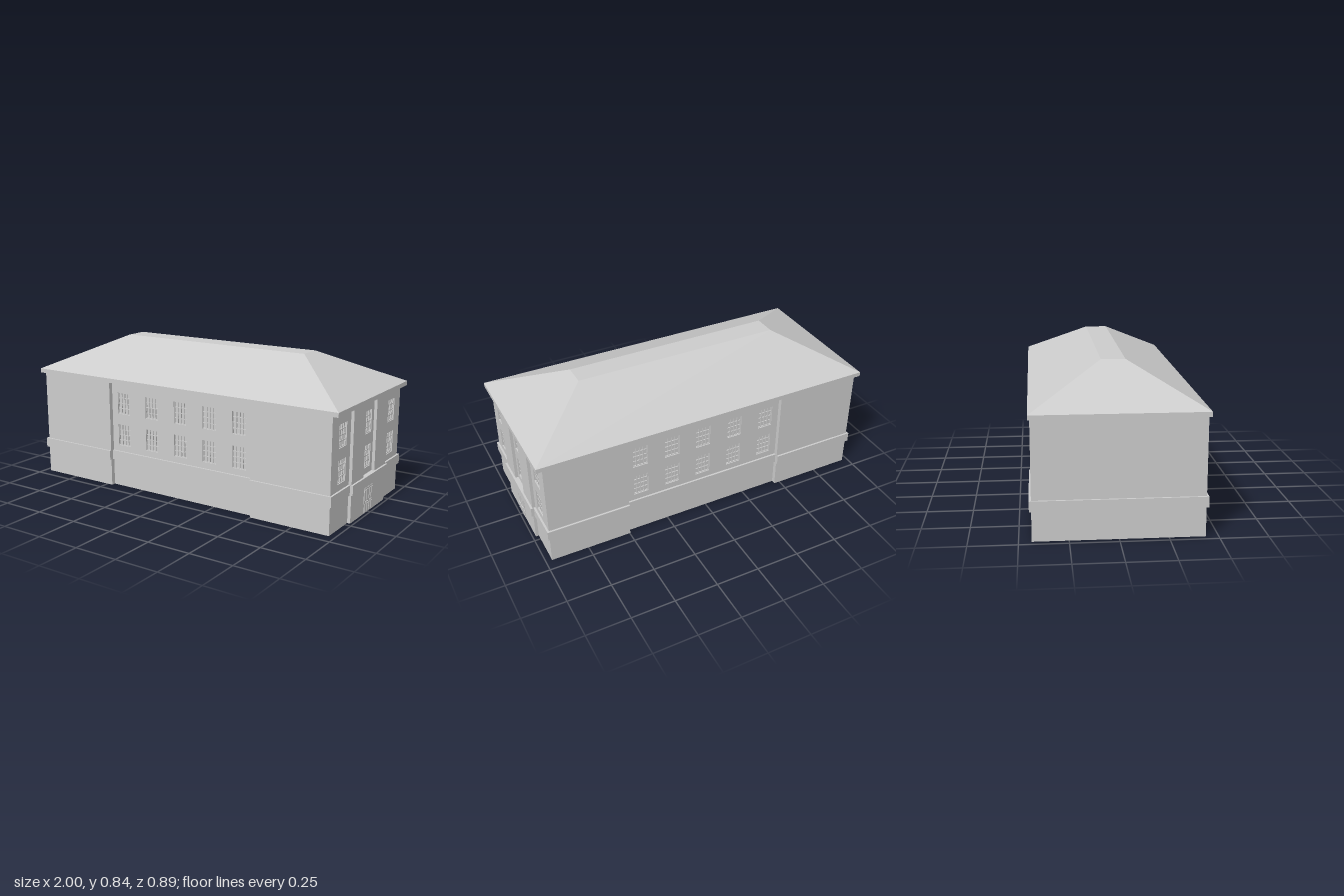
import * as THREE from 'three';

const mat = new THREE.MeshStandardMaterial({ color: 0xcccccc, flatShading: true, side: THREE.DoubleSide });
const BAND0 = 0.157, BAND1 = 0.213, BAND_OUT = 0.011;   // string course
const EAVE0 = 0.625, EAVE1 = 0.65;
const WIN_W = 0.09, WIN_H = 0.128;
const ROWS = [0.312, 0.502];          // window centre heights

function add(parent, geometry, name, x = 0, y = 0, z = 0) {
  const mesh = new THREE.Mesh(geometry, mat);
  mesh.name = name;
  mesh.position.set(x, y, z);
  parent.add(mesh);
  return mesh;
}

function box(parent, name, x0, x1, y0, y1, z0, z1) {
  add(parent, new THREE.BoxGeometry(x1 - x0, y1 - y0, z1 - z0), name,
    (x0 + x1) / 2, (y0 + y1) / 2, (z0 + z1) / 2);
}

// Thin sheets facing z, y and x
function sheet(parent, name, x0, x1, y0, y1, z) {
  add(parent, new THREE.PlaneGeometry(x1 - x0, y1 - y0), name, (x0 + x1) / 2, (y0 + y1) / 2, z);
}

function ledge(parent, name, x0, x1, y, z0, z1) {
  add(parent, new THREE.PlaneGeometry(x1 - x0, z1 - z0), name, (x0 + x1) / 2, y, (z0 + z1) / 2)
    .rotation.x = -Math.PI / 2;
}

function side(parent, name, x, y0, y1, z0, z1) {
  add(parent, new THREE.PlaneGeometry(z1 - z0, y1 - y0), name, x, (y0 + y1) / 2, (z0 + z1) / 2)
    .rotation.y = Math.PI / 2;
}

function rect(Type, x0, x1, y0, y1) {
  return new Type().moveTo(x0, y0).lineTo(x1, y0).lineTo(x1, y1).lineTo(x0, y1).closePath();
}

// Window with a reveal, a pane and glazing bars on both faces of the pane
function addWindow(parent, cx, cy, z) {
  const win = new THREE.Group();
  win.name = 'window';
  win.position.set(cx, cy, z);
  const w = WIN_W / 2, h = WIN_H / 2, t = 0.0022, n = 4;
  const frame = rect(THREE.Shape, -w, w, -h, h);
  frame.holes.push(rect(THREE.Path, -w + 0.001, w - 0.001, -h + 0.001, h - 0.001));
  add(win, new THREE.ExtrudeGeometry(frame, { depth: 0.02, bevelEnabled: false }), 'frame', 0, 0, -0.02);
  sheet(win, 'pane', -w, w, -h, h, -0.012);
  for (let i = 0; i <= n; i++) {
    const x = (-1 + 2 * i / n) * (w - t), y = (-1 + 2 * i / n) * (h - t);
    box(win, 'verticalBar', x - t, x + t, -h, h, -0.018, -0.006);
    box(win, 'horizontalBar', -w, w, y - t, y + t, -0.018, -0.006);
  }
  parent.add(win);
}

// Upper wall with window openings at the given x positions
function upperWall(parent, x0, x1, z, centres = []) {
  const shape = rect(THREE.Shape, x0, x1, BAND1, EAVE0);
  for (const cx of centres) for (const cy of ROWS) {
    shape.holes.push(rect(THREE.Path, cx - WIN_W / 2, cx + WIN_W / 2, cy - WIN_H / 2, cy + WIN_H / 2));
    addWindow(parent, cx, cy, z);
  }
  add(parent, new THREE.ShapeGeometry(shape), 'upperWall', 0, 0, z);
}

// Plinth wall and the hollow course above it; e0/e1 lengthen the course at its ends
function lowerWall(parent, x0, x1, z, e0 = 0, e1 = 0) {
  const a = x0 - e0, b = x1 + e1, front = z + BAND_OUT;
  sheet(parent, 'baseWall', x0, x1, 0, BAND0, z);
  sheet(parent, 'stringCourse', a, b, BAND0, BAND1, front);
  for (const y of [BAND0, BAND1]) ledge(parent, 'courseLedge', a, b, y, z, front);
  for (const x of [a, b]) side(parent, 'courseEnd', x, BAND0, BAND1, z, front);
}

// Long side; s mirrors the layout for the back
function longSide(s, name) {
  const g = new THREE.Group();
  g.name = name;
  const wing = 0.435, mid = 0.41, s0 = -0.464, s1 = 0.497;
  const sections = [[-0.967, s0, wing, 0.009, 0], [s0, s1, mid, 0, 0], [s1, 0.965, wing, 0, 0.011]];
  for (const [a, b, z, e0, e1] of sections) {
    const [x0, x1] = s > 0 ? [a, b] : [-b, -a];
    lowerWall(g, x0, x1, z, s > 0 ? e0 : e1, s > 0 ? e1 : e0);
    upperWall(g, x0, x1, z, z === mid ? [-0.378, -0.175, 0.025, 0.218, 0.41].map(c => c * s) : []);
  }
  for (const x of [s0, s1]) side(g, 'stepReturn', x * s, 0, EAVE0, mid, wing);
  if (s < 0) g.rotation.y = Math.PI;
  return g;
}

// Entrance end: projecting centre bay with two pilasters and a double door
function entranceEnd() {
  const g = new THREE.Group();
  g.name = 'entranceEnd';
  const back = 0.965, out = 0.982, end = 0.435;
  for (const s of [-1, 1]) {
    const span = (a, b) => s > 0 ? [a, b] : [-b, -a];
    lowerWall(g, ...span(0.22, end), back, s < 0 ? 0.011 : 0, s > 0 ? 0.011 : 0);
    upperWall(g, ...span(0.22, end), back, [s > 0 ? 0.313 : -0.31]);
    upperWall(g, ...span(0.072, 0.22), out);
    side(g, 'bayReturn', 0.22 * s, 0, EAVE0, back, out);
    side(g, 'pilasterReturn', 0.072 * s, BAND1, EAVE0, back, out);
    // door leaf with raised panels and a lever handle
    box(g, 'doorLeaf', ...span(0.001, 0.056), 0.004, 0.145, out, out + 0.002);
    for (const x of [0.006, 0.032]) for (const [y0, y1] of [[0.012, 0.055], [0.075, 0.135]])
      box(g, 'doorPanel', ...span(x, x + 0.019), y0, y1, out, out + 0.005);
    box(g, 'doorHandle', ...span(0.01, 0.038), 0.063, 0.068, out + 0.002, out + 0.007);
  }
  upperWall(g, -0.072, 0.072, back, [0]);
  ledge(g, 'baySill', -0.072, 0.072, BAND1, back, out);
  lowerWall(g, -0.22, 0.22, out, 0.006, 0.006);
  for (const x of [-0.226, 0.226]) side(g, 'courseReturn', x, BAND0, BAND1, back, out);
  g.rotation.y = Math.PI / 2;
  return g;
}

function blankEnd() {
  const g = new THREE.Group();
  g.name = 'blankEnd';
  lowerWall(g, -0.435, 0.435, 0.967, 0.011, 0.011);
  upperWall(g, -0.435, 0.435, 0.967);
  g.rotation.y = -Math.PI / 2;
  return g;
}

// Hipped roof with a narrow flat top
function hippedRoof() {
  const ring = (x, y, z) => [[-x, y, z], [x, y, z], [x, y, -z], [-x, y, -z]];
  const low = ring(1, EAVE1, 0.445), top = ring(0.605, 0.843, 0.064), pos = [];
  const quad = (a, b, c, d) => pos.push(...a, ...b, ...c, ...a, ...c, ...d);
  for (let i = 0; i < 4; i++) {
    const j = (i + 1) % 4;
    quad(low[i], low[j], top[j], top[i]);
  }
  quad(...top);
  const geo = new THREE.BufferGeometry();
  geo.setAttribute('position', new THREE.Float32BufferAttribute(pos, 3));
  geo.computeVertexNormals();
  return geo;
}

export function createModel() {
  const model = new THREE.Group();
  model.name = 'building';
  model.add(longSide(1, 'frontSide'), longSide(-1, 'backSide'), entranceEnd(), blankEnd());
  box(model, 'eaves', -1, 1, EAVE0, EAVE1, -0.445, 0.445);
  add(model, hippedRoof(), 'roof');
  return model;
}
